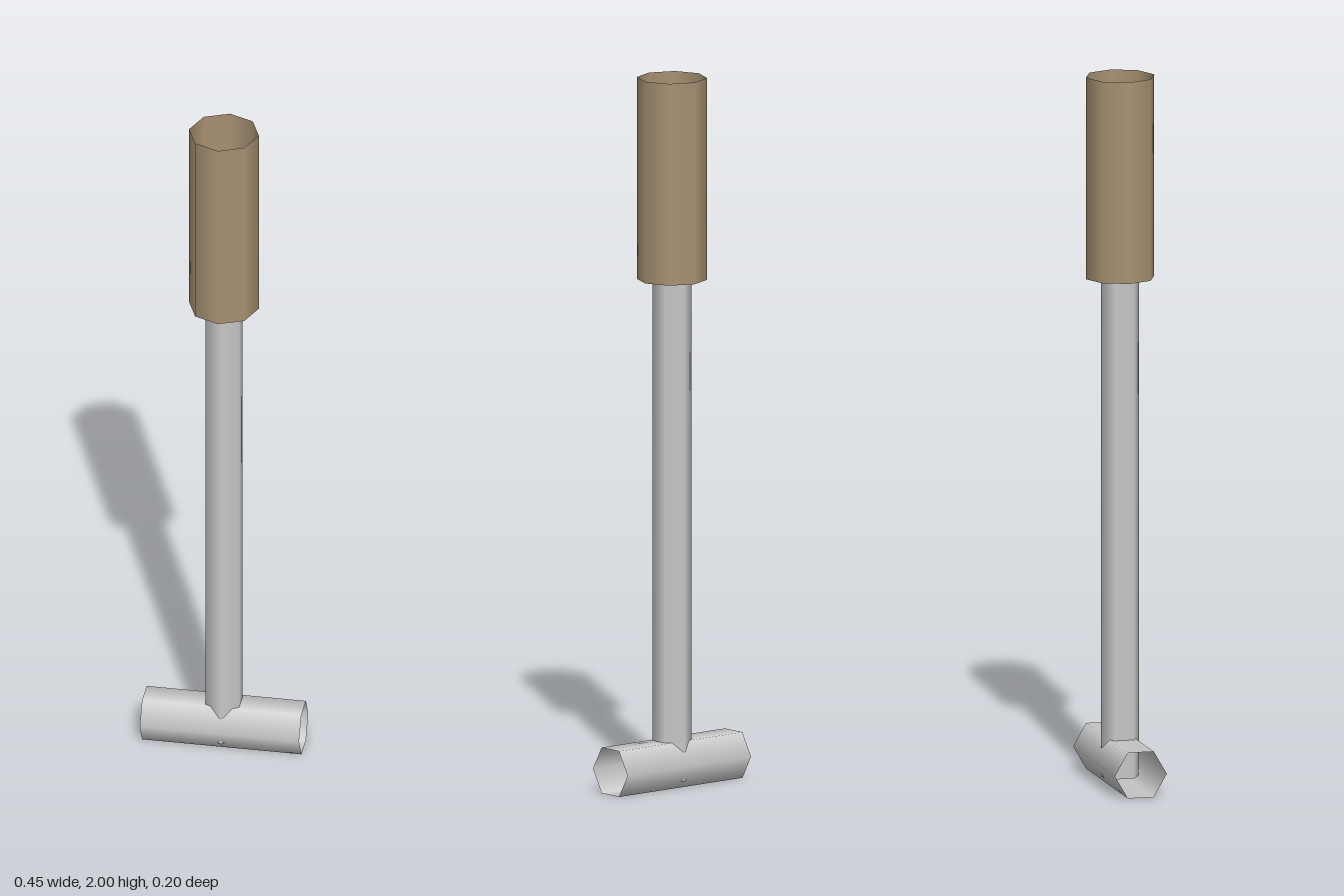
import * as THREE from 'three';

const metal = new THREE.MeshStandardMaterial({ color: 0xcccccc, side: THREE.DoubleSide });
metal.name = 'light grey metal';
const wood = new THREE.MeshStandardMaterial({ color: 0xa89172, side: THREE.DoubleSide });
wood.name = 'brown grip';

// Open-ended tube standing between two heights
function tube(name, radius, bottom, top, sides, material) {
  const geometry = new THREE.CylinderGeometry(radius, radius, top - bottom, sides, 1, true);
  const mesh = new THREE.Mesh(geometry, material);
  mesh.name = name;
  mesh.position.y = (bottom + top) / 2;
  return mesh;
}

export function createModel() {
  const model = new THREE.Group();
  model.name = 'hammer';

  // Octagonal grip, hollow at both ends
  model.add(tube('grip', 0.098, 1.43, 2, 8, wood));

  // Hexagonal shaft, running from inside the head into the grip
  model.add(tube('shaft', 0.055, 0.02, 1.5, 6, metal));

  // Hexagonal head lying along x with a flat side down
  const headRadius = 0.0745;
  const head = tube('head', headRadius, -0.2245, 0.2245, 6, metal);
  head.rotation.z = Math.PI / 2;
  head.position.y = headRadius * Math.cos(Math.PI / 6);
  model.add(head);

  return model;
}
